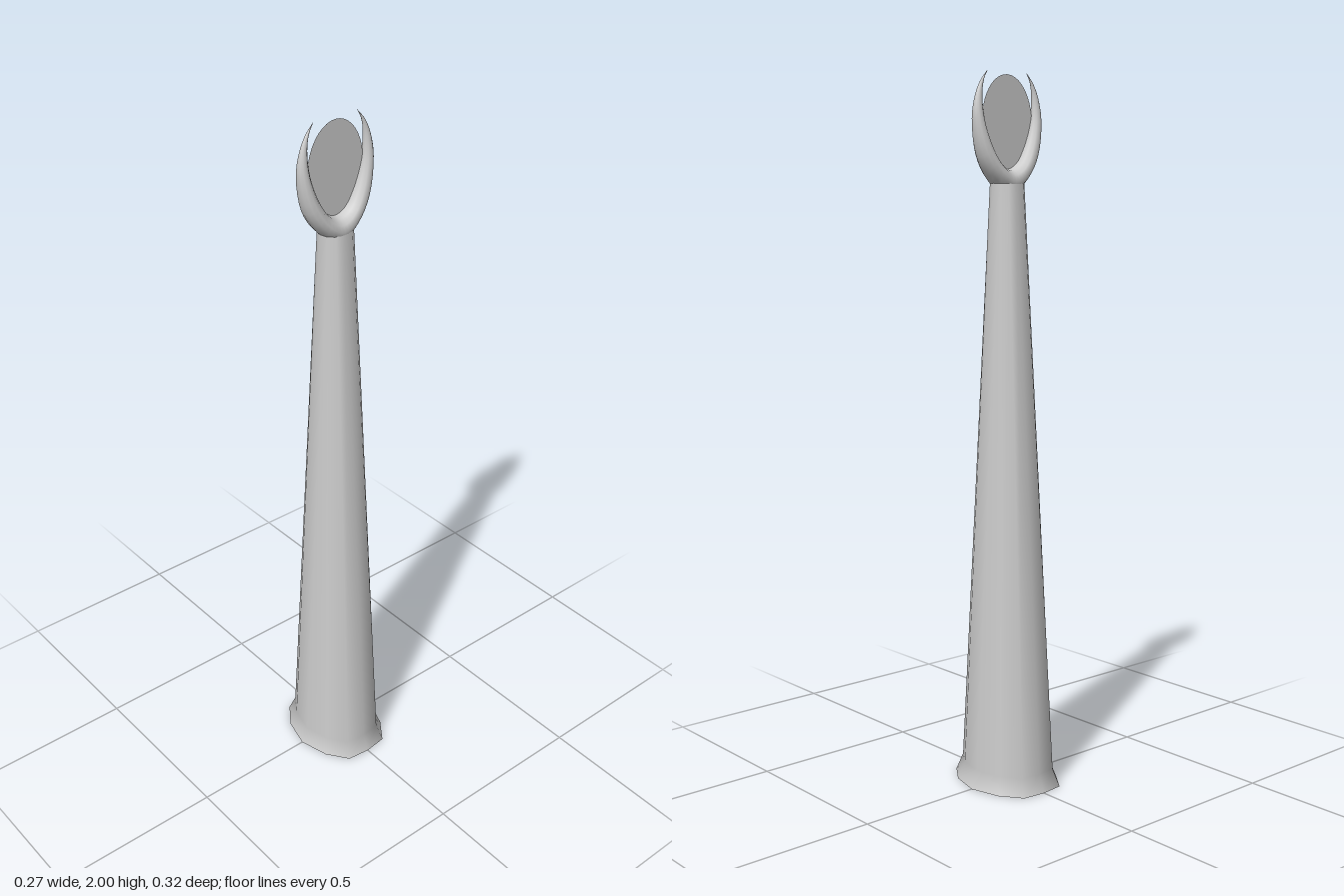
import * as THREE from 'three';

const material = new THREE.MeshStandardMaterial({ color: 0xcccccc });
const flatMaterial = new THREE.MeshStandardMaterial({ color: 0xcccccc, side: THREE.DoubleSide });

// Skin a list of closed rings (equal point counts) with smooth normals.
function loft(rings) {
  const n = rings[0].length;
  const index = [];
  for (let i = 0; i < rings.length - 1; i++) {
    for (let j = 0; j < n; j++) {
      const a = i * n + j, b = i * n + (j + 1) % n;
      index.push(a, a + n, b, b, a + n, b + n);
    }
  }
  const geometry = new THREE.BufferGeometry().setFromPoints(rings.flat());
  geometry.setIndex(index);
  geometry.computeVertexNormals();
  return geometry;
}

// Twelve-sided oval outline, slightly squared at the front and back.
const quarter = [[1, 0], [0.83, 0.56], [0.5, 0.95], [0, 1]];
const outline = [
  ...quarter,
  ...quarter.slice(0, 3).reverse().map(([x, z]) => [-x, z]),
  ...quarter.slice(1).map(([x, z]) => [-x, -z]),
  ...quarter.slice(1, 3).reverse().map(([x, z]) => [x, -z]),
];
const oval = (rx, rz, y) => outline.map(([x, z]) => new THREE.Vector3(x * rx, y, z * rz));

export function createModel() {
  const group = new THREE.Group();
  const add = (name, geometry, mat = material) => {
    const mesh = new THREE.Mesh(geometry, mat);
    mesh.name = name;
    group.add(mesh);
    return mesh;
  };

  // Tapered shaft with a flared foot
  add('shaft', loft([
    oval(0.135, 0.158, 0),
    oval(0.115, 0.138, 0.05),
    oval(0.053, 0.038, 1.7),
    oval(0, 0, 1.72),
  ]));

  // Underside of the foot
  const base = new THREE.ShapeGeometry(
    new THREE.Shape(outline.map(([x, z]) => new THREE.Vector2(x * 0.135, z * 0.158))));
  base.rotateX(Math.PI / 2);
  add('footBase', base);

  // Claw: one sweep from tip to tip, given by outer and inner edges of one prong
  const outer = [[0, 1.67], [0.055, 1.705], [0.1, 1.77], [0.12, 1.87], [0.112, 1.93], [0.095, 1.97], [0.07, 2]];
  const inner = [[0, 1.74], [0.032, 1.754], [0.062, 1.8], [0.086, 1.87], [0.091, 1.935], [0.083, 1.975], [0.069, 2]];
  const edge = (half) => new THREE.CatmullRomCurve3([
    ...half.slice(1).reverse().map(([x, y]) => new THREE.Vector3(-x, y, 0)),
    ...half.map(([x, y]) => new THREE.Vector3(x, y, 0)),
  ]);
  const outerEdge = edge(outer), innerEdge = edge(inner);
  const rings = [];
  const steps = 48, sides = 12;
  for (let i = 0; i <= steps; i++) {
    const o = outerEdge.getPoint(i / steps), n = innerEdge.getPoint(i / steps);
    const mid = o.clone().add(n).multiplyScalar(0.5);
    const reach = o.clone().sub(n).multiplyScalar(0.5);
    const depth = 0.04 * Math.min(1, Math.max(0, (2 - mid.y) / 0.28));
    rings.push(Array.from({ length: sides }, (_, j) => {
      const a = (j / sides) * Math.PI * 2;
      const p = mid.clone().addScaledVector(reach, Math.cos(a));
      p.z = depth * Math.sin(a);
      return p;
    }));
  }
  add('claw', loft(rings));

  // Thin oval plate held between the prongs
  const plate = new THREE.CircleGeometry(1, 40);
  plate.scale(0.09, 0.127, 1);
  add('plate', plate, flatMaterial).position.y = 1.865;

  return group;
}
